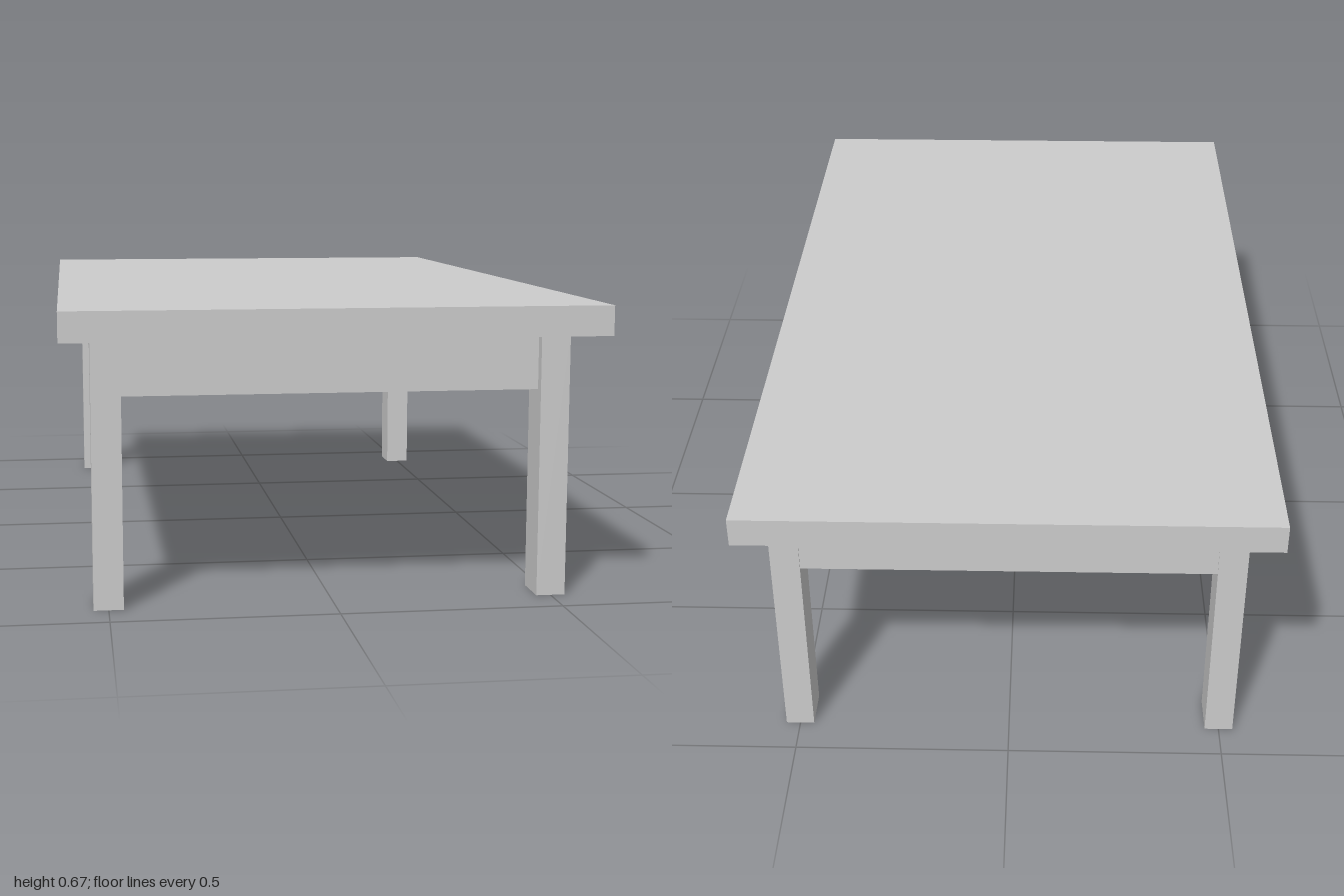
import * as THREE from 'three';

export function createModel() {
  const table = new THREE.Group();
  table.name = 'coffeeTable';
  const material = new THREE.MeshStandardMaterial({ color: 0xcccccc, flatShading: true });

  // Box given by its [min, max] range on each axis
  const slab = (name, [x0, x1], [y0, y1], [z0, z1]) => {
    const mesh = new THREE.Mesh(new THREE.BoxGeometry(x1 - x0, y1 - y0, z1 - z0), material);
    mesh.position.set((x0 + x1) / 2, (y0 + y1) / 2, (z0 + z1) / 2);
    mesh.name = name;
    table.add(mesh);
  };

  const top = 0.6;
  const apronY = [0.47, top];
  const frontLegZ = [0.812, 0.905];
  const backLegZ = [-0.918, -0.825];

  slab('tabletop', [-0.6, 0.6], [top, 0.667], [-1, 1]);

  // Legs and side aprons, mirrored left and right
  for (const [side, s] of [['left', 1], ['right', -1]]) {
    const range = (a, b) => (s > 0 ? [a, b] : [-b, -a]);
    slab(`${side}FrontLeg`, range(0.467, 0.533), [0, top], frontLegZ);
    slab(`${side}BackLeg`, range(0.467, 0.533), [0, top], backLegZ);
    slab(`${side}Apron`, range(0.477, 0.522), apronY, [backLegZ[1], frontLegZ[0]]);
  }

  // End aprons between the legs
  slab('frontApron', [-0.467, 0.467], apronY, [0.822, 0.882]);
  slab('backApron', [-0.467, 0.467], apronY, [-0.915, -0.868]);

  return table;
}
